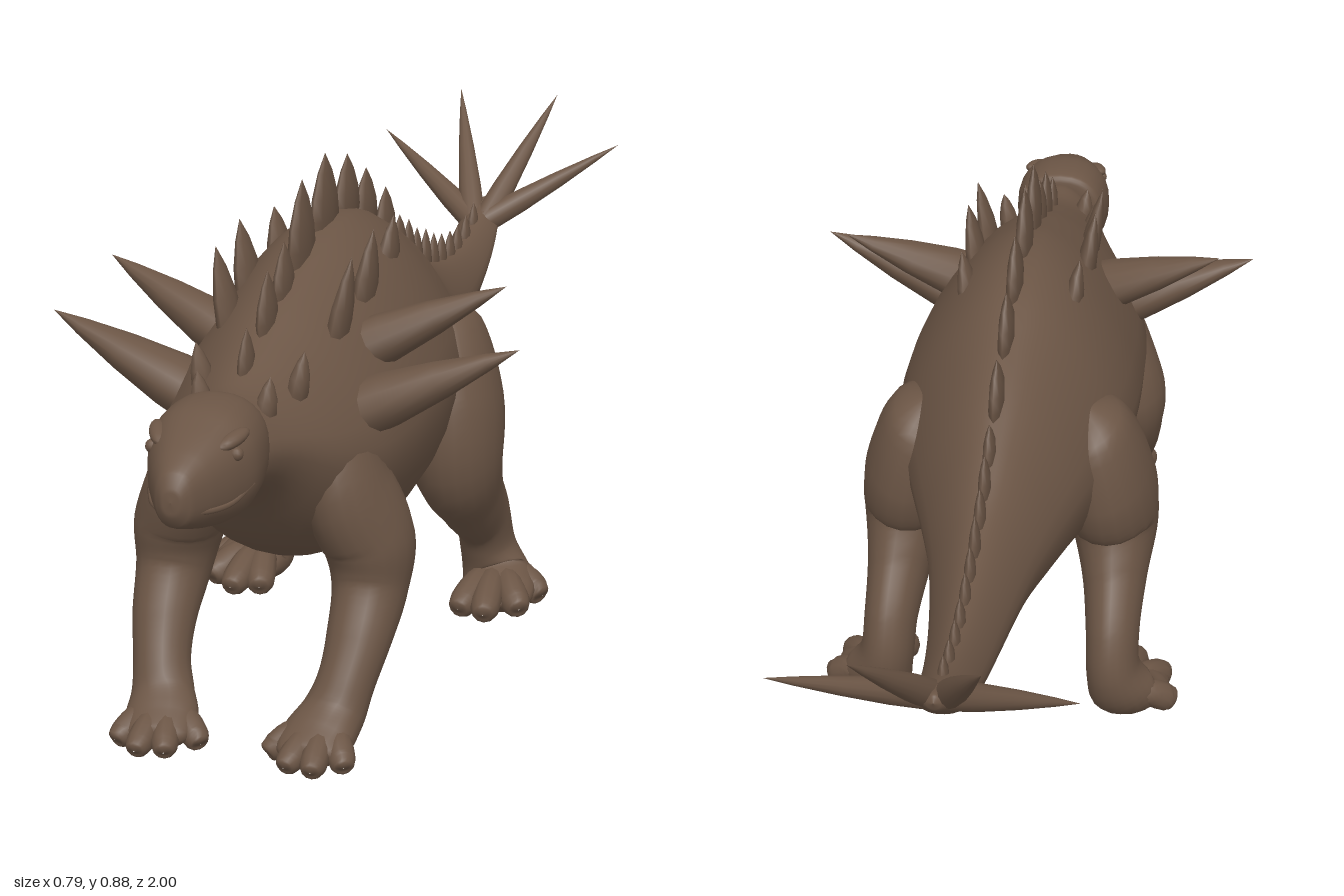
import * as THREE from 'three';

const hide = new THREE.MeshStandardMaterial({ color: 0x6b5545 });
hide.name = 'brown hide';

// Smooth skin over oval sections [x, y, z, sideRadius, otherRadius].
// upright: sections run from front to back, square to the z axis; peak narrows their upper half.
function loft(sections, { steps = 6, sides = 20, upright = false, mirror = 1, power = 1, peak = 0 } = {}) {
  const path = new THREE.CatmullRomCurve3(sections.map(s => new THREE.Vector3(s[0] * mirror, s[1], s[2])));
  const radii = new THREE.CatmullRomCurve3(sections.map((s, i) =>
    new THREE.Vector3(s[3], s[4], i * 0.1)));
  const rings = (sections.length - 1) * steps;
  const pos = [], index = [];
  const bend = v => Math.sign(v) * Math.abs(v) ** power;
  for (let i = 0; i <= rings; i++) {
    const c = path.getPoint(i / rings), r = radii.getPoint(i / rings);
    const t = upright ? new THREE.Vector3(0, 0, -1) : path.getTangent(i / rings);
    const s = new THREE.Vector3(1, 0, 0).addScaledVector(t, -t.x).normalize();
    const u = t.clone().cross(s);
    for (let j = 0; j < sides; j++) {
      const a = j / sides * Math.PI * 2;
      const narrow = 1 - peak * Math.max(0, -Math.sin(a));
      const p = c.clone()
        .addScaledVector(s, bend(Math.cos(a)) * narrow * Math.max(r.x, 0.001))
        .addScaledVector(u, bend(Math.sin(a)) * Math.max(r.y, 0.001));
      pos.push(p.x, p.y, p.z);
      if (i < rings) {
        const k = (j + 1) % sides, A = i * sides, B = A + sides;
        index.push(A + j, A + k, B + k, A + j, B + k, B + j);
      }
    }
  }
  const g = new THREE.BufferGeometry();
  g.setAttribute('position', new THREE.Float32BufferAttribute(pos, 3));
  g.setIndex(index);
  g.computeVertexNormals();
  return g;
}

// Unit-high lathe outlines: a leaf for the plates, a horn for the spikes
const lathe = (pts, n) => new THREE.LatheGeometry(pts.map(p => new THREE.Vector2(...p)), n);
const leaf = lathe([[0.85, 0], [1, 0.25], [0.88, 0.5], [0.5, 0.78], [0, 1]], 8);
const horn = lathe([[1, 0], [0.9, 0.25], [0.62, 0.55], [0.28, 0.82], [0, 1]], 12);

export function createModel() {
  const model = new THREE.Group();
  const add = (name, geometry) => {
    const m = new THREE.Mesh(geometry, hide);
    m.name = name;
    model.add(m);
    return m;
  };
  const V = (x, y, z) => new THREE.Vector3(x, y, z);

  // Place an outline from base to tip, with its two radii
  function point(name, shape, base, tip, rx, rz) {
    const d = tip.clone().sub(base), m = add(name, shape);
    m.scale.set(rx, d.length(), rz);
    m.position.copy(base);
    m.quaternion.setFromUnitVectors(V(0, 1, 0), d.normalize());
  }
  // [z, bottom, top, halfWidth] to upright sections
  const profile = rows => rows.map(([z, b, t, w]) => [0, (b + t) / 2, z, w, (t - b) / 2]);

  // Neck, trunk and tail in one skin
  const trunk = [
    [0.80, 0.50, 0.60, 0.05], [0.77, 0.472, 0.62, 0.075], [0.70, 0.435, 0.625, 0.105],
    [0.60, 0.33, 0.66, 0.158], [0.50, 0.27, 0.70, 0.193], [0.40, 0.24, 0.735, 0.208],
    [0.30, 0.225, 0.765, 0.213], [0.20, 0.23, 0.775, 0.213], [0.10, 0.245, 0.76, 0.203],
    [0, 0.26, 0.72, 0.183], [-0.10, 0.285, 0.675, 0.153], [-0.20, 0.305, 0.62, 0.12],
    [-0.30, 0.33, 0.565, 0.092], [-0.40, 0.345, 0.53, 0.074], [-0.50, 0.36, 0.51, 0.061],
    [-0.60, 0.385, 0.505, 0.052], [-0.70, 0.43, 0.52, 0.046], [-0.78, 0.485, 0.545, 0.037],
    [-0.82, 0.52, 0.552, 0.016], [-0.828, 0.538, 0.54, 0.001],
  ];
  add('body', loft(profile(trunk), { upright: true, sides: 32, steps: 4, peak: 0.3 }));
  const topAt = z => {
    const i = trunk.findIndex(r => r[0] <= z), a = trunk[i - 1], b = trunk[i];
    return THREE.MathUtils.mapLinear(z, a[0], b[0], a[2], b[2]);
  };

  // Head with a beaked snout and a blunt rear rim
  add('head', loft(profile([
    [1, 0.53, 0.532, 0.001], [0.998, 0.51, 0.55, 0.015], [0.985, 0.488, 0.574, 0.03],
    [0.95, 0.474, 0.597, 0.05], [0.90, 0.46, 0.62, 0.073], [0.85, 0.455, 0.638, 0.088],
    [0.79, 0.467, 0.64, 0.084], [0.768, 0.485, 0.625, 0.07], [0.766, 0.55, 0.552, 0.001],
  ]), { upright: true, sides: 28, power: 0.85 }));
  // Lip running round the snout
  add('mouth', new THREE.TubeGeometry(new THREE.CatmullRomCurve3([
    V(-0.081, 0.525, 0.86), V(-0.064, 0.508, 0.91), V(-0.041, 0.508, 0.955), V(0, 0.515, 0.994),
    V(0.041, 0.508, 0.955), V(0.064, 0.508, 0.91), V(0.081, 0.525, 0.86)]), 30, 0.005, 6));

  // Ridge plates [z, tipHeight, halfLength]
  [[0.645, 0.70, 0.032], [0.54, 0.765, 0.044], [0.455, 0.79, 0.045], [0.36, 0.87, 0.06],
    [0.235, 0.885, 0.065], [0.11, 0.855, 0.06], [0, 0.805, 0.057], [-0.12, 0.742, 0.052],
    [-0.21, 0.668, 0.036], [-0.27, 0.645, 0.033], [-0.325, 0.615, 0.03], [-0.385, 0.598, 0.029],
    [-0.44, 0.575, 0.027], [-0.495, 0.56, 0.027], [-0.555, 0.55, 0.027], [-0.61, 0.547, 0.025],
    [-0.67, 0.552, 0.025], [-0.73, 0.562, 0.022],
  ].forEach(([z, tip, len]) => point('ridgePlate', leaf,
    V(0, topAt(z) - 0.03, z + 0.005), V(0, tip, z), 0.007 + len * 0.13, len));

  for (const s of [1, -1]) {
    const side = s > 0 ? 'left' : 'right';

    // Brow and eye
    const brow = add(side + 'Brow', new THREE.SphereGeometry(1, 14, 10));
    brow.position.set(s * 0.06, 0.6, 0.885);
    brow.scale.set(0.014, 0.011, 0.034);
    brow.rotation.set(0.25, -s * 0.4, 0);
    const eye = add(side + 'Eye', new THREE.SphereGeometry(0.011, 12, 8));
    eye.position.set(s * 0.067, 0.58, 0.893);

    // Plates flanking the ridge [x, base, z, tipX, tipY, halfLength]
    [[0.09, 0.66, 0.19, 0.105, 0.775, 0.045], [0.095, 0.64, 0.34, 0.115, 0.79, 0.048],
      [0.085, 0.61, 0.46, 0.115, 0.775, 0.042], [0.075, 0.58, 0.63, 0.09, 0.665, 0.026],
      [0.05, 0.57, 0.71, 0.06, 0.645, 0.024],
    ].forEach(([x, y, z, tx, ty, r]) => point(side + 'FlankPlate', leaf,
      V(s * x, y, z), V(s * tx, ty, z), 0.018, r));

    // Shoulder and tail spikes
    point(side + 'ShoulderSpike', horn, V(s * 0.115, 0.52, 0.49), V(s * 0.395, 0.647, 0.47), 0.05, 0.066);
    point(side + 'ShoulderSpike', horn, V(s * 0.09, 0.595, 0.405), V(s * 0.34, 0.712, 0.343), 0.046, 0.056);
    point(side + 'TailSpike', horn, V(s * 0.012, 0.515, -0.77), V(s * 0.10, 0.725, -1), 0.025, 0.025);
    point(side + 'TailSpike', horn, V(s * 0.012, 0.515, -0.77), V(s * 0.24, 0.645, -0.94), 0.025, 0.025);

    // Legs, from inside the body down to the sole
    add(side + 'ForeLeg', loft([
      [0.08, 0.57, 0.52, 0.001, 0.001], [0.1, 0.52, 0.53, 0.05, 0.07], [0.128, 0.42, 0.54, 0.07, 0.095],
      [0.162, 0.32, 0.52, 0.074, 0.09], [0.168, 0.25, 0.535, 0.062, 0.073], [0.166, 0.18, 0.59, 0.053, 0.053],
      [0.157, 0.12, 0.63, 0.047, 0.047], [0.145, 0.075, 0.66, 0.052, 0.045], [0.132, 0.05, 0.705, 0.06, 0.036],
      [0.125, 0.036, 0.75, 0.048, 0.022], [0.125, 0.032, 0.765, 0.001, 0.001]], { mirror: s }));
    add(side + 'HindLeg', loft([
      [0.13, 0.59, 0.01, 0.001, 0.001], [0.15, 0.54, 0.02, 0.062, 0.085], [0.175, 0.42, 0.05, 0.083, 0.122],
      [0.187, 0.32, 0.07, 0.079, 0.104], [0.195, 0.235, 0.01, 0.058, 0.08], [0.2, 0.165, -0.06, 0.048, 0.067],
      [0.205, 0.10, -0.083, 0.049, 0.062], [0.222, 0.052, -0.075, 0.062, 0.05], [0.24, 0.037, -0.03, 0.064, 0.034],
      [0.25, 0.03, 0.005, 0.047, 0.022], [0.25, 0.028, 0.02, 0.001, 0.001]], { mirror: s }));

    // Toes: knuckle to blunt tip
    const toe = (name, x, z, tx, tz, r) => {
      const mid = (a, b, k) => a + (b - a) * k;
      add(name, loft([[0, 0.055, 0.001], [0.1, 0.055, r * 0.8], [0.45, 0.05, r], [0.8, 0.032, r * 1.05],
        [0.97, 0.028, r * 0.7], [1, 0.026, 0.001]].map(([k, y, w]) =>
        [mid(x, tx, k), y, mid(z, tz, k), w, w]), { mirror: s, sides: 12, steps: 4 }));
    };
    [[0.055, 0.735], [0.1, 0.785], [0.147, 0.793], [0.192, 0.76]].forEach(([tx, tz]) =>
      toe(side + 'ForeToe', 0.132 + (tx - 0.12) * 0.3, 0.68, tx, tz, 0.021));
    [[0.185, 0.055], [0.235, 0.07], [0.29, 0.025], [0.312, -0.055]].forEach(([tx, tz]) =>
      toe(side + 'HindToe', 0.225 + (tx - 0.25) * 0.2, -0.07 - (tx > 0.3 ? 0.03 : 0), tx, tz, 0.025));
  }
  return model;
}
